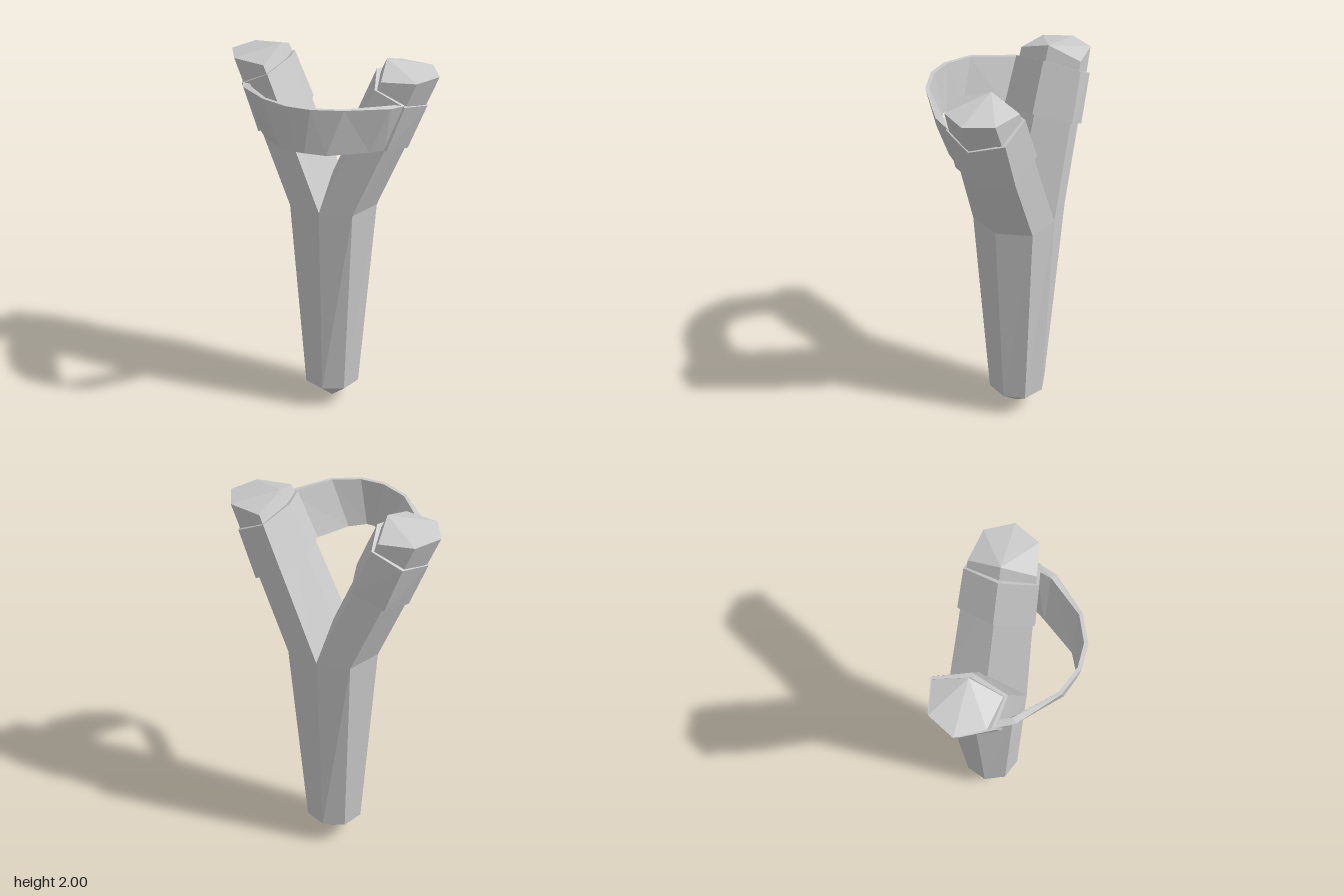
import * as THREE from 'three';

const material = new THREE.MeshStandardMaterial({ color: 0xcccccc, flatShading: true });

// Skins a list of equal-length rings; caps are fans from the first ring point
function loft(name, rings, capStart = true, capEnd = true) {
  const pos = [];
  const tri = (a, b, c) => pos.push(...a, ...b, ...c);
  const n = rings[0].length;
  for (let r = 0; r < rings.length - 1; r++) {
    const lo = rings[r], hi = rings[r + 1];
    for (let i = 0; i < n; i++) {
      const j = (i + 1) % n;
      tri(lo[i], lo[j], hi[j]);
      tri(lo[i], hi[j], hi[i]);
    }
  }
  const first = rings[0], last = rings[rings.length - 1];
  for (let i = 1; i < n - 1; i++) {
    if (capStart) tri(first[0], first[i + 1], first[i]);
    if (capEnd) tri(last[0], last[i], last[i + 1]);
  }
  const geometry = new THREE.BufferGeometry();
  geometry.setAttribute('position', new THREE.Float32BufferAttribute(pos, 3));
  geometry.computeVertexNormals();
  const mesh = new THREE.Mesh(geometry, material);
  mesh.name = name;
  return mesh;
}

const mirrorPoint = ([x, y, z]) => [-x, y, z];
const mirrorRing = ([p, ...rest]) => [p, ...rest.reverse()].map(mirrorPoint);

// Eight-sided handle ring: side point, diagonal point, front point
function handleRing(y, side, dx, dz, front) {
  return [
    [side, y, 0], [dx, y, -dz], [0, y, -front], [-dx, y, -dz],
    [-side, y, 0], [-dx, y, dz], [0, y, front], [dx, y, dz],
  ];
}

// Six-sided prong ring, symmetric in z, starting at the inner corner
function prongRing([ix, iy], [ax, ay, az], [bx, by, bz], [ox, oy]) {
  return [
    [ix, iy, 0], [ax, ay, az], [bx, by, bz],
    [ox, oy, 0], [bx, by, -bz], [ax, ay, -az],
  ];
}

export function createModel() {
  const model = new THREE.Group();
  model.name = 'slingshot';

  const frame = new THREE.Group();
  frame.name = 'frame';
  frame.position.z = -0.13;
  model.add(frame);

  // Tapered handle with a pointed foot
  frame.add(loft('handle', [
    handleRing(0, 0, 0, 0, 0),
    handleRing(0.135, 0.15, 0.108, 0.107, 0.15),
    handleRing(1.22, 0.235, 0.165, 0.165, 0.195),
  ], false, false));

  // Prongs and the sleeves bound around them
  const prong = [
    prongRing([0, 1.36], [0, 1.22, 0.195], [0.165, 1.22, 0.165], [0.235, 1.22]),
    prongRing([0.27, 2.0], [0.295, 1.942, 0.16], [0.46, 1.945, 0.13], [0.53, 1.942]),
  ];
  const sleeve = [
    prongRing([0.12, 1.70], [0.175, 1.672, 0.186], [0.33, 1.593, 0.159], [0.386, 1.556]),
    prongRing([0.22, 1.94], [0.27, 1.905, 0.174], [0.413, 1.83, 0.153], [0.476, 1.79]),
  ];
  for (const [side, map] of [['left', (r) => r], ['right', mirrorRing]]) {
    frame.add(loft(side + 'Prong', prong.map(map), false, true));
    frame.add(loft(side + 'Sleeve', sleeve.map(map)));
  }

  // Sling band: sections of top outer, top inner, bottom inner, bottom outer
  const half = [
    [[0.41, 1.835, 0.015], [0.375, 1.835, 0.01], [0.29, 1.607, 0.02], [0.32, 1.598, 0.025]],
    [[0.37, 1.85, 0.105], [0.345, 1.855, 0.085], [0.24, 1.615, 0.085], [0.27, 1.61, 0.1]],
    [[0.20, 1.88, 0.266], [0.19, 1.88, 0.252], [0.10, 1.643, 0.25], [0.115, 1.64, 0.265]],
    [[0.06, 1.887, 0.325], [0.06, 1.887, 0.305], [0.017, 1.657, 0.287], [0.02, 1.655, 0.303]],
  ];
  const otherHalf = half.map((s) => s.map(mirrorPoint)).reverse();
  model.add(loft('slingBand', [...half, ...otherHalf]));

  return model;
}
